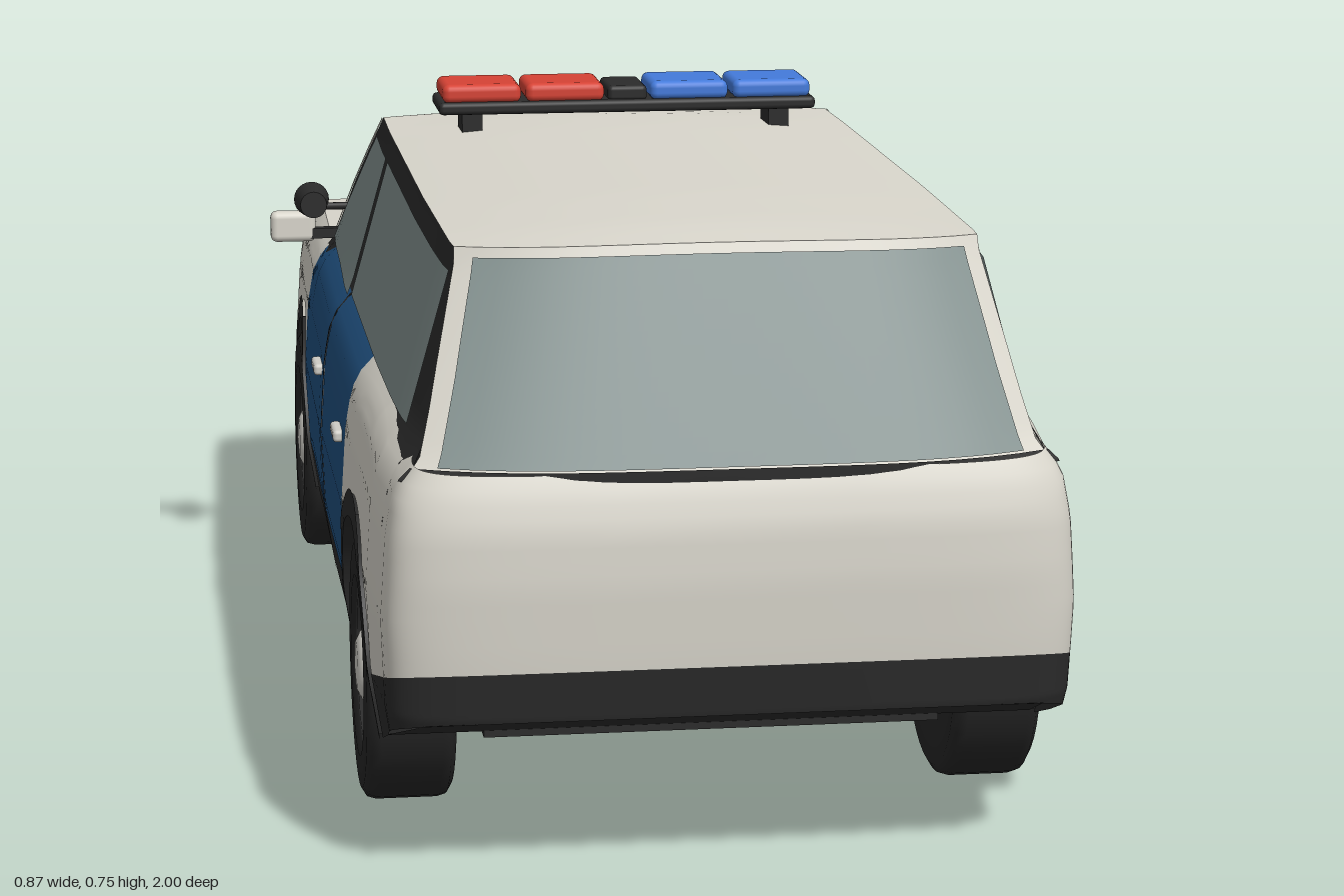
import * as THREE from 'three';
import { RoundedBoxGeometry } from 'three/addons/geometries/RoundedBoxGeometry.js';

const material = (name, color) => {
  const m = new THREE.MeshStandardMaterial({ color, side: THREE.DoubleSide });
  m.name = name;
  return m;
};
const lerp = THREE.MathUtils.lerp;

// Piecewise linear lookup through [key, value] pairs
function table(points, t) {
  if (t <= points[0][0]) return points[0][1];
  for (let i = 1; i < points.length; i++) {
    const [a, va] = points[i - 1], [b, vb] = points[i];
    if (t <= b) return lerp(va, vb, (t - a) / (b - a));
  }
  return points[points.length - 1][1];
}

// Body rules: beltline height, plan half width, and half width at any height
const belt = z => table([[-0.86, 0.45], [-0.45, 0.462], [-0.3, 0.48], [0, 0.485], [0.7, 0.485], [0.88, 0.472], [0.97, 0.46]], z);
const plan = z => table([[-0.9, 0.368], [-0.8, 0.378], [-0.4, 0.388], [0, 0.394], [0.5, 0.394], [0.8, 0.39], [0.9, 0.382]], z);
const section = [[-0.365, -0.018], [-0.28, -0.004], [-0.18, 0], [-0.085, -0.006], [-0.04, -0.014], [-0.015, -0.027], [0, -0.042], [0.195, -0.097]];
const side = (y, z) => plan(z) + table(section, y - belt(z));
const screenZ = y => table([[0.46, -0.455], [0.5, -0.39], [0.57, -0.3], [0.645, -0.2], [0.682, -0.13]], y);
const tailZ = y => lerp(0.972, 0.868, (y - 0.46) / 0.222);
const AXLES = [-0.555, 0.625];
const HUB_Y = 0.155;
const arch = z => Math.max(...AXLES.map(a => {
  const k = (z - a) / 0.18;
  return Math.abs(k) < 1 ? HUB_Y + 0.2 * Math.sqrt(1 - k * k) : 0;
}));
const sillTop = z => 0.195 + Math.max(0, z - 0.8) * 0.25;
const sillBottom = z => 0.12 + Math.max(0, z - 0.8) * 0.35 + Math.max(0, -0.73 - z) * 0.16;

export function createModel() {
  const car = new THREE.Group();
  car.name = 'patrolWagon';
  const white = material('white paint', 0xd9d6cc);
  const blue = material('blue paint', 0x20507f);
  const black = material('black trim', 0x2b2b2b);
  const glass = material('window glass', 0x83918f);
  const tyre = material('tyre rubber', 0x262626);
  const rim = material('dark rim', 0x363636);
  const metal = material('pale metal', 0xcfcdc6);
  const red = material('red lamp', 0xd64335);
  const lamp = material('blue lamp', 0x447bdb);

  const add = (name, geometry, mat, x = 0, y = 0, z = 0) => {
    const mesh = new THREE.Mesh(geometry, mat);
    mesh.name = name;
    mesh.position.set(x, y, z);
    car.add(mesh);
    return mesh;
  };
  // Smooth surface from a rule (u, v) -> [x, y, z]
  const patch = (name, mat, nu, nv, rule) => {
    const g = new THREE.PlaneGeometry(1, 1, nu, nv);
    const p = g.attributes.position;
    for (let i = 0; i < p.count; i++) p.setXYZ(i, ...rule(p.getX(i) + 0.5, p.getY(i) + 0.5));
    g.computeVertexNormals();
    return add(name, g, mat);
  };
  // Panel following the body side, between two ends and two heights
  const panel = (s, name, mat, z0, z1, low, high, lift = 0, nu = 24) =>
    patch(name, mat, nu, 16, (u, v) => {
      const z = lerp(z0, z1, u), y = lerp(low(z), high(z), v);
      return [s * (side(y, z) + lift), y, z];
    });
  // Cabin panel whose ends lean with height
  const leaning = (s, name, mat, y0, y1, front, rear, lift) =>
    patch(name, mat, 20, 8, (u, v) => {
      const y = lerp(y0, y1, v), z = lerp(front(y), rear(y), u);
      return [s * (side(y, z) + lift), y, z];
    });
  // Rounded end of the body
  const cap = (name, mat, end, depth, p, low, high, span = Math.PI / 2, lift = 0) =>
    patch(name, mat, 48, 14, (u, v) => {
      const a = lerp(-span, span, u), c = Math.abs(Math.cos(a)) ** p;
      const y = lerp(low(c), high(c), v);
      const x = side(y, end) * Math.sign(a) * Math.abs(Math.sin(a)) ** p;
      return [x, y, end + Math.sign(end) * (table(depth, y) * c + lift)];
    });

  for (const s of [-1, 1]) {
    // Lower body sides
    const fenderLow = z => Math.max(sillTop(z), arch(z));
    panel(s, 'frontFender', white, -0.86, -0.43, fenderLow, belt, 0, 80);
    panel(s, 'rearFender', white, 0.45, 0.88, fenderLow, belt, 0, 80);
    panel(s, 'frontDoor', blue, -0.43, 0.057, fenderLow, belt, 0, 60);
    panel(s, 'rearDoor', blue, 0.063, 0.45, fenderLow, belt);
    panel(s, 'doorSeam', black, 0.055, 0.065, () => 0.12, belt, 0.001, 1);
    panel(s, 'fenderSeam', black, -0.737, -0.734, () => 0.2, () => 0.37, 0.001, 1);
    for (const [a, b] of [[-0.86, -0.73], [-0.38, 0.45], [0.8, 0.88]])
      panel(s, 'sill', black, a, b, sillBottom, sillTop);

    for (const a of AXLES) {
      // Arch trim and wheel well
      const ring = (u, r, h) => {
        const t = lerp(-0.2, Math.PI + 0.2, u);
        return [Math.max(0.12, HUB_Y + h * Math.sin(t)), a + r * Math.cos(t)];
      };
      patch('archTrim', black, 40, 2, (u, v) => {
        const [y, z] = ring(u, lerp(0.164, 0.184, v), lerp(0.174, 0.206, v));
        return [s * (side(y, z) + 0.004), y, z];
      });
      patch('wheelWell', black, 40, 1, (u, v) => {
        const [y, z] = ring(u, 0.165, 0.175);
        return [s * lerp(0.25, side(y, z) + 0.004, v), y, z];
      });
      // Wheel
      const wheel = new THREE.Group();
      wheel.name = 'wheel';
      wheel.position.set(s * 0.3375, HUB_Y, a);
      wheel.rotation.z = -s * Math.PI / 2;
      const turned = (name, mat, pts) => {
        const m = new THREE.Mesh(new THREE.LatheGeometry(pts.map(q => new THREE.Vector2(...q)), 40), mat);
        m.name = name;
        wheel.add(m);
      };
      turned('tyre', tyre, [[0, -0.04], [0.1, -0.05], [0.142, -0.051], [0.152, -0.045], [0.155, -0.035],
        [0.155, 0.035], [0.152, 0.045], [0.142, 0.051], [0.105, 0.052], [0.095, 0.044]]);
      turned('rim', rim, [[0.097, 0.046], [0.088, 0.046], [0.08, 0.028], [0.06, 0.03], [0.048, 0.04], [0, 0.04]]);
      turned('hubCap', metal, [[0.042, 0.038], [0.04, 0.047], [0.028, 0.053], [0, 0.055]]);
      car.add(wheel);
    }

    // Cabin side: frame, windows and windscreen post
    leaning(s, 'cabinFrame', black, 0.455, 0.682, screenZ, y => tailZ(y) - 0.045, -0.001);
    leaning(s, 'rearSideWindow', glass, 0.487, 0.657, () => 0.082, () => 0.83, 0.003);
    leaning(s, 'frontSideWindow', glass, 0.482, 0.657, y => screenZ(y) + 0.045, () => 0.056, 0.003);
    leaning(s, 'screenPost', white, 0.462, 0.682, screenZ, y => screenZ(y) + 0.014, 0.002);

    // Handles and mirrors
    for (const z of [-0.005, 0.38])
      add('doorHandle', new RoundedBoxGeometry(0.014, 0.015, 0.058, 2, 0.005), metal, s * (side(0.377, z) + 0.004), 0.377, z);
    add('mirror', new RoundedBoxGeometry(0.062, 0.042, 0.028, 3, 0.009), white, s * 0.402, 0.491, -0.405);
    add('mirrorArm', new THREE.BoxGeometry(0.05, 0.014, 0.016), black, s * 0.365, 0.482, -0.4);
  }

  // Nose and tail
  const noseDepth = [[0.14, 0.083], [0.2, 0.092], [0.3, 0.098], [0.39, 0.096], [0.42, 0.08], [0.438, 0.05], [0.45, 0]];
  const tailDepth = [[0.148, 0.09], [0.19, 0.108], [0.25, 0.115], [0.34, 0.119], [0.4, 0.116], [0.44, 0.105], [0.47, 0.09]];
  cap('nose', white, -0.86, noseDepth, 0.45, () => 0.195, () => 0.45);
  cap('frontBumper', black, -0.86, noseDepth, 0.45, c => 0.14 + 0.015 * c, () => 0.195);
  cap('grille', black, -0.86, noseDepth, 0.45, () => 0.225, () => 0.385, 0.6, 0.004);
  cap('tailgate', white, 0.88, tailDepth, 0.38, c => 0.215 + 0.03 * c, c => 0.472 - 0.014 * c);
  cap('rearBumper', black, 0.88, tailDepth, 0.38, c => 0.148 + 0.04 * c, c => 0.215 + 0.03 * c);

  // Bonnet
  patch('bonnet', white, 20, 20, (u, v) => {
    const z = lerp(-0.86, -0.4, v), k = 2 * u - 1;
    return [k * side(belt(z), z), belt(z) + 0.009 * (1 - k * k) * Math.min(1, v * 4), z];
  });

  // Windscreen, rear screen and roof
  const screen = (name, mat, y0, y1, width, zRule) => patch(name, mat, 20, 14, (u, v) => {
    const k = (2 * u - 1) * width, y = lerp(y0, y1, v), z = zRule(y, k);
    return [k * side(y, z), y + 0.006 * (1 - k * k) * (y - 0.46) / 0.222, z];
  });
  const frontRule = (y, k) => screenZ(y) - 0.02 * (1 - k * k);
  const rearRule = (y, k) => tailZ(y) - 0.045 * k ** 4;
  screen('windscreenFrame', white, 0.455, 0.682, 1, frontRule);
  screen('windscreen', glass, 0.46, 0.678, 0.965, (y, k) => frontRule(y, k) - 0.005);
  screen('rearScreenFrame', white, 0.455, 0.682, 1, rearRule);
  screen('rearScreen', glass, 0.462, 0.672, 0.94, (y, k) => rearRule(y, k) + 0.005);
  screen('rearScreenStrip', black, 0.447, 0.461, 1.02, (y, k) => rearRule(0.46, k) + 0.009);
  patch('roof', white, 20, 30, (u, v) => {
    const k = 2 * u - 1, z = lerp(frontRule(0.682, k), rearRule(0.682, k), v);
    const crown = table([[0, 0.3], [0.12, 0.85], [0.25, 1], [0.75, 1], [0.92, 0.75], [1, 0.3]], v);
    return [k * side(0.682, z), 0.682 + 0.019 * (1 - k * k) * crown, z];
  });

  // Underside
  add('floor', new THREE.BoxGeometry(0.746, 0.02, 0.82), black, 0, 0.131, 0.04);
  add('chassis', new THREE.BoxGeometry(0.52, 0.28, 1.54), black, 0, 0.257, 0.035);
  for (const [z0, y0, z1, y1] of [[0.79, 0.12, 0.982, 0.187], [-0.72, 0.12, -0.942, 0.155]])
    patch('undertray', black, 1, 1, (u, v) => [(u - 0.5) * lerp(0.74, 0.68, v), lerp(y0, y1, v), lerp(z0, z1, v)]);

  // Roof light bar
  add('lightBarBase', new RoundedBoxGeometry(0.482, 0.016, 0.106, 2, 0.006), black, 0, 0.724, 0.042);
  for (const [x, mat] of [[-0.186, red], [-0.08, red], [0.079, lamp], [0.185, lamp]])
    add('beacon', new RoundedBoxGeometry(0.1, 0.024, 0.098, 3, 0.009), mat, x, 0.742, 0.042);
  add('lightBarCentre', new RoundedBoxGeometry(0.05, 0.02, 0.09, 2, 0.006), black, 0, 0.739, 0.042);
  for (const s of [-1, 1]) add('lightBarFoot', new THREE.BoxGeometry(0.026, 0.04, 0.06), black, s * 0.197, 0.7, 0.042);

  // Spotlight
  add('spotlight', new THREE.CylinderGeometry(0.024, 0.018, 0.05, 24), black, -0.378, 0.535, -0.34).rotation.x = -Math.PI / 2;
  add('spotlightArm', new THREE.CylinderGeometry(0.005, 0.005, 0.05, 10), black, -0.35, 0.53, -0.335).rotation.z = Math.PI / 2;

  // Push bar
  const tube = (name, r, pts) => add(name, new THREE.TubeGeometry(
    new THREE.CatmullRomCurve3(pts.map(q => new THREE.Vector3(...q)), false, 'catmullrom', 0.3), 30, r, 10), black);
  for (const s of [-1, 1]) {
    tube('pushBarUpright', 0.01, [[s * 0.12, 0.148, -0.985], [s * 0.12, 0.3, -0.99], [s * 0.12, 0.36, -0.985], [s * 0.12, 0.388, -0.972]]);
    add('pushBarBracket', new THREE.BoxGeometry(0.014, 0.02, 0.07), black, s * 0.12, 0.165, -0.95);
  }
  for (const y of [0.27, 0.38]) tube('pushBarRail', 0.008, [[-0.12, y, -0.982], [0.12, y, -0.982]]);
  tube('pushBarLowerRail', 0.01, [[-0.31, 0.168, -0.978], [0, 0.168, -0.988], [0.31, 0.168, -0.978]]);
  return car;
}
